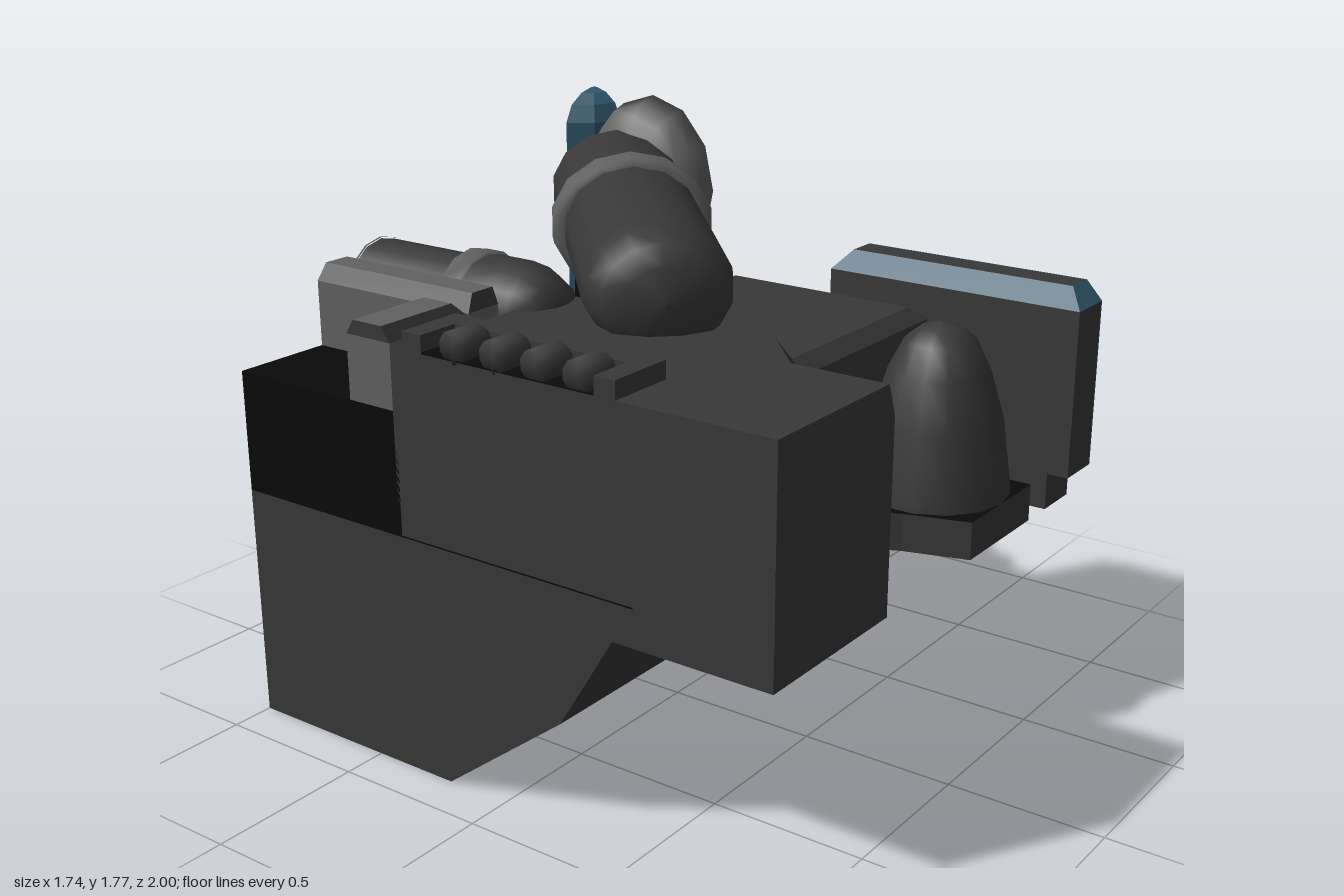
import * as THREE from 'three';

const mat = (name, color) => new THREE.MeshStandardMaterial({ name, color });

export function createModel() {
  const model = new THREE.Group();
  const grey = mat('darkGrey', 0x383838);
  const light = mat('lightGrey', 0x616161);
  const black = mat('black', 0x0a0a0a);
  const blue = mat('blue', 0x30586e);

  const add = (name, geometry, material) => {
    const mesh = new THREE.Mesh(geometry, material);
    mesh.name = name;
    model.add(mesh);
    return mesh;
  };
  const box = (name, x0, x1, y0, y1, z0, z1, m) => add(name,
    new THREE.BoxGeometry(x1 - x0, y1 - y0, z1 - z0)
      .translate((x0 + x1) / 2, (y0 + y1) / 2, (z0 + z1) / 2), m);

  // Flat-sided block through outlines [x, z] at rising heights.
  // Materials: one for each layer of sides, then one for the top.
  const loft = (name, outlines, heights, mats) => {
    const first = outlines[0].map(([x, z]) => new THREE.Vector2(x, -z));
    const flip = THREE.ShapeUtils.area(first) < 0;
    const rings = outlines.map((o, i) => {
      const ring = o.map(([x, z]) => [x, heights[i], z]);
      return flip ? ring.reverse() : ring;
    });
    const pos = [], g = new THREE.BufferGeometry();
    const face = (...p) => p.forEach((v) => pos.push(...v));
    let start = 0;
    const close = (m) => { g.addGroup(start, pos.length / 3 - start, m); start = pos.length / 3; };
    const cap = (ring, down) => THREE.ShapeUtils
      .triangulateShape(ring.map(([x, , z]) => new THREE.Vector2(x, -z)), [])
      .forEach(([a, b, c]) => (down ? face(ring[c], ring[b], ring[a]) : face(ring[a], ring[b], ring[c])));
    cap(rings[0], true);
    for (let i = 0; i + 1 < rings.length; i++) {
      const lo = rings[i], hi = rings[i + 1];
      lo.forEach((p, j) => {
        const k = (j + 1) % lo.length;
        face(p, lo[k], hi[k], p, hi[k], hi[j]);
      });
      close(i);
    }
    cap(rings[rings.length - 1], false);
    close(rings.length - 1);
    g.setAttribute('position', new THREE.Float32BufferAttribute(pos, 3));
    g.computeVertexNormals();
    return add(name, g, mats);
  };
  const rect = (x0, x1, z0, z1) => [[x0, z0], [x1, z0], [x1, z1], [x0, z1]];

  // Round part turned along local +z, flattened by sy, then aimed
  const round = (name, profile, sides, m, [x, y, z], yaw, tilt = 0, sy = 1) => {
    const g = new THREE.LatheGeometry(profile.map(([r, s]) => new THREE.Vector2(r, s)), sides)
      .rotateX(Math.PI / 2).scale(1, sy, 1);
    const mesh = add(name, g, m);
    mesh.position.set(x, y, z);
    mesh.rotation.set(-tilt, yaw, 0, 'YXZ');
    return mesh;
  };

  // Hull with sloping underside
  const side = new THREE.Shape([[-1, 0], [-0.21, 0], [0.22, 0.33], [0.41, 0.64], [0.48, 0.64],
    [0.48, 0.755], [-1, 0.755]].map(([z, y]) => new THREE.Vector2(z, y)));
  add('hull', new THREE.ExtrudeGeometry(side, { depth: 1.72, bevelEnabled: false })
    .rotateY(-Math.PI / 2).translate(0.86, 0, 0), grey);
  box('deckFloor', -0.86, 0.86, 0.755, 0.76, -1, 0.48, black);

  // Front ledges
  const ledge = [[-0.08, 0.47], [-0.06, 0.5], [0, 0.51], [0.07, 0.58], [0.14, 0.73], [0.2, 0.93],
    [0.585, 0.93], [0.585, 0.47]];
  loft('frontLedge', [ledge, ledge], [0.64, 0.76], [grey, black]);
  box('sideLedge', 0.7, 0.86, 0.64, 0.76, 0.47, 0.93, grey);

  // Tall bevelled side block
  const blockBase = [[-0.86, 0.93], [-0.29, 0.93], [-0.29, 0.645], [-0.09, 0.5], [-0.09, -0.37], [-0.86, -0.37]];
  const blockTop = [[-0.86, 0.93], [-0.325, 0.93], [-0.325, 0.62], [-0.145, 0.45], [-0.145, -0.33], [-0.86, -0.33]];
  loft('sideBlock', [blockBase, blockBase, blockTop], [0.64, 1.23, 1.33], [grey, grey, grey]);

  // Central housing
  const houseBase = [[-0.08, 0.48], [0.7, 0.48], [0.7, -0.25], [0.5, -0.46], [-0.08, -0.46]];
  const houseTop = [[-0.06, 0.43], [0.66, 0.43], [0.66, -0.23], [0.48, -0.42], [-0.06, -0.42]];
  loft('centralHousing', [houseBase, houseBase, houseTop], [0.755, 1.19, 1.23], [grey, grey, grey]);

  // Rear box with light rails on it
  box('rearBox', -0.86, -0.05, 0.755, 1.14, -1, -0.36, black);
  loft('crossRail', [rect(-0.86, -0.53, -0.54, -0.37), rect(-0.86, -0.53, -0.54, -0.37),
    rect(-0.86, -0.57, -0.51, -0.4)], [1.14, 1.34, 1.385], [light, grey, light]);
  loft('longRail', [rect(-0.53, -0.4, -1, -0.37), rect(-0.53, -0.4, -1, -0.37),
    rect(-0.49, -0.4, -1, -0.39)], [1.14, 1.35, 1.4], [light, grey, light]);

  // Small pipe with collar and light end
  round('smallPipe', [[0, 0.76], [0.06, 0.755], [0.12, 0.72], [0.155, 0.65], [0.165, 0.58], [0.165, 0.42],
    [0.15, 0.42], [0.15, 0.005]].reverse(), 14, grey, [-0.25, 1.28, -1], 0);
  round('smallPipeCollar', [[0.14, 0], [0.175, 0], [0.175, 0.07], [0.14, 0.07]], 14, light, [-0.25, 1.28, -0.61], 0);
  round('smallPipeEnd', [[0, 0], [0.155, 0], [0.155, 0.008]], 14, light, [-0.25, 1.28, -1], 0);

  // Large slanted tube with collar, saddle and flared mouth
  const dir = new THREE.Vector3(0.73, 0, -0.69).normalize();
  const yaw = Math.atan2(dir.x, dir.z), tilt = 0.02;
  const along = (s, y) => [-0.335 + dir.x * s, y, 0.205 + dir.z * s];
  round('largeTube', [[0, 0], [0.12, 0.015], [0.185, 0.06], [0.22, 0.15], [0.228, 0.22], [0.228, 1.45],
    [0.19, 1.5], [0, 1.53]], 14, grey, along(0, 1.425), yaw, tilt, 0.89);
  round('largeTubeCollar', [[0.22, 0], [0.25, 0], [0.265, 0.02], [0.265, 0.1], [0.25, 0.12], [0.22, 0.12]],
    14, light, along(0.87, 1.445), yaw, tilt, 0.86);
  const saddle = add('tubeSaddle', new THREE.BoxGeometry(0.32, 0.58, 0.88), black);
  saddle.position.set(...along(0.93, 1.045));
  saddle.rotation.y = yaw;

  const mouth = round('tubeMouth', [[0.18, 0], [0.25, 0.03], [0.29, 0.08], [0.31, 0.15], [0, 0.151]], 12, light,
    [0.705, 1.455, -0.73], Math.PI / 2);
  mouth.scale.x = 0.84;
  const hole = round('tubeMouthOpening', [[0.165, 0], [0.165, 0.003], [0, 0.003]], 6, grey,
    [0.856, 1.4, -0.74], Math.PI / 2);
  hole.scale.x = 0.85;

  // Blue corner post, rounded off at the top
  const post = (k) => [[0.86 - 0.16 * k, -1], [0.86 - 0.1 * k, -1 + 0.08 * k], [0.86, -1 + 0.12 * k], [0.86, -1]];
  loft('cornerPost', [post(1), post(1), post(0.8), post(0.45), post(0.1)],
    [0.755, 1.66, 1.72, 1.755, 1.768], [blue, blue, blue, blue, blue]);

  // Side panel with blue outer face and blue bevels
  const panel = rect(0.7, 0.855, 0.115, 1);
  loft('sidePanel', [panel, panel, rect(0.76, 0.855, 0.165, 0.945)], [0.76, 1.3, 1.36], [grey, blue, grey]);
  const outer = new THREE.Shape([[0.115, 0.76], [1, 0.76], [1, 1.3], [0.945, 1.36], [0.165, 1.36], [0.115, 1.3]]
    .map(([z, y]) => new THREE.Vector2(z, y)));
  add('sidePanelFace', new THREE.ExtrudeGeometry(outer, { depth: 0.005, bevelEnabled: false })
    .rotateY(-Math.PI / 2).translate(0.86, 0, 0), blue);

  // Front bullet-shaped dome
  const dome = [[0.232, 0.75], [0.232, 0.78], [0.2, 1], [0.155, 1.15], [0.11, 1.24], [0.06, 1.28], [0, 1.295]];
  add('frontDome', new THREE.LatheGeometry(dome.map(([r, y]) => new THREE.Vector2(r, y)), 14)
    .translate(0.385, 0, 0.7), grey);

  // Control tray with a row of rollers
  const lip = (name, x0, x1, z0, z1) => box(name, x0, x1, 1.325, 1.385, z0, z1, grey);
  lip('trayBackLip', -0.86, -0.64, -0.32, -0.25);
  lip('trayFrontLip', -0.86, -0.64, 0.36, 0.43);
  lip('traySideLip', -0.72, -0.64, -0.25, 0.36);
  box('trayFloor', -0.86, -0.72, 1.33, 1.335, -0.25, 0.36, black);
  for (let i = 0; i < 4; i++) {
    round('roller', [[0, 0], [0.05, 0], [0.05, 0.1], [0.03, 0.125], [0, 0.13]], 10, grey,
      [-0.86, 1.37, -0.13 + i * 0.145], Math.PI / 2);
  }
  return model;
}
